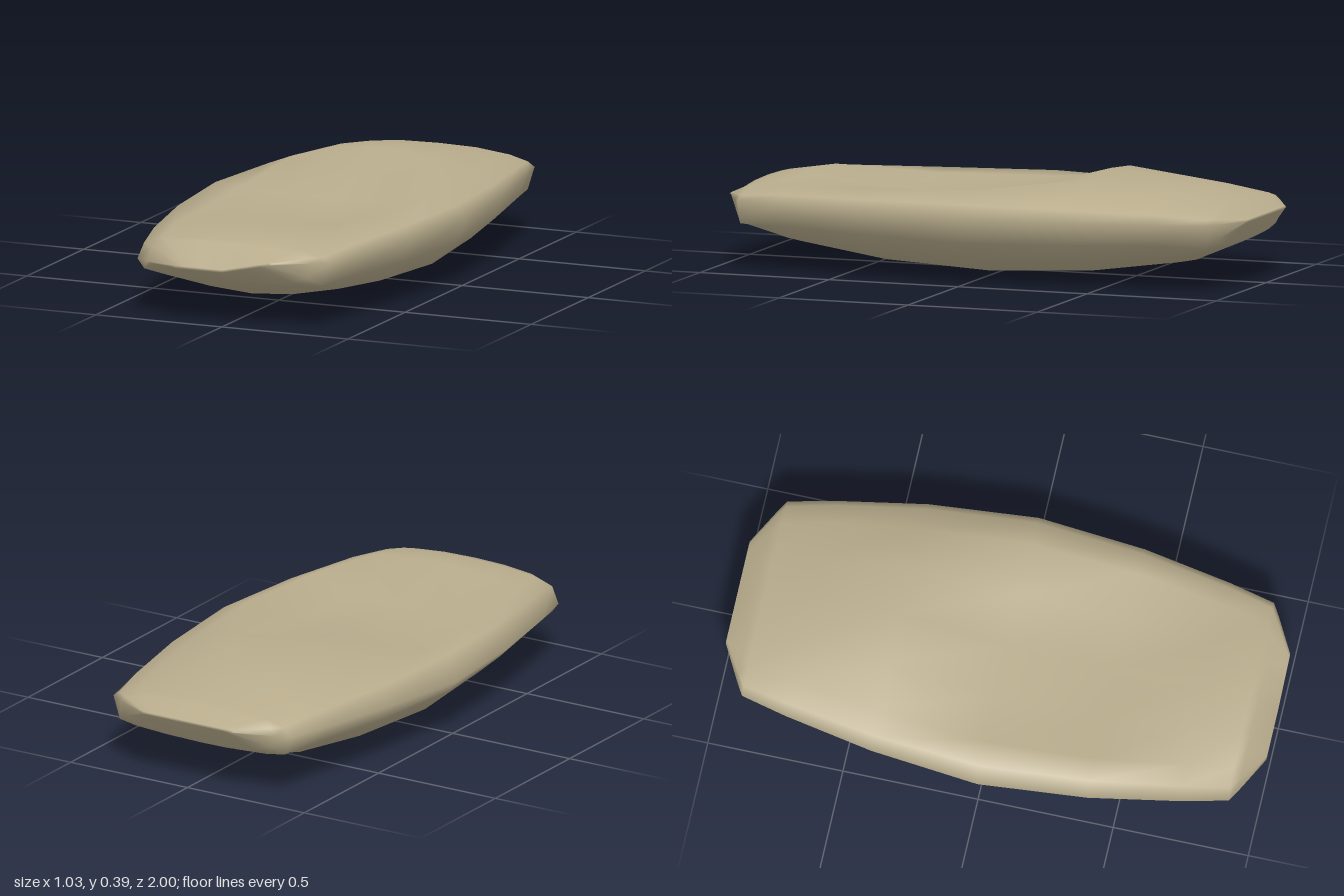
import * as THREE from 'three';

// Shared cross-section rule: position across the width, and depth below the rim
const ACROSS = [-0.93, -0.74, -0.39, 0, 0.39, 0.74, 0.93];
const DEPTH = [0.38, 0.72, 0.92, 1, 0.92, 0.72, 0.38];
const RIM = 0.25;

// Stations from back to front: z, half width, keel height, left rim (-x), boxiness of the underside, top heights.
// The top is a shallow hollow between a high back, a front ridge and a right-hand ridge.
const STATIONS = [
  [-0.93, 0.33, 0.157, 0.24, 0.35, [0.265, 0.282, 0.295, 0.297, 0.295, 0.282, 0.265]],
  [-0.9, 0.38, 0.142, 0.235, 0.65, [0.268, 0.287, 0.302, 0.305, 0.302, 0.287, 0.268]],
  [-0.73, 0.42, 0.07, 0.23, 0.1, [0.282, 0.308, 0.333, 0.34, 0.333, 0.308, 0.282]],
  [-0.4, 0.48, 0.02, 0.22, 0, [0.29, 0.325, 0.372, 0.388, 0.372, 0.325, 0.29]],
  [0, 0.515, 0.0, 0.2, 0, [0.295, 0.288, 0.277, 0.28, 0.28, 0.335, 0.295]],
  [0.4, 0.48, 0.02, 0.2, 0, [0.29, 0.282, 0.272, 0.27, 0.275, 0.325, 0.29]],
  [0.73, 0.42, 0.07, 0.2, 0.1, [0.28, 0.3, 0.323, 0.335, 0.326, 0.306, 0.282]],
  [0.9, 0.38, 0.142, 0.2, 0.65, [0.262, 0.285, 0.298, 0.302, 0.298, 0.287, 0.268]],
  [0.93, 0.33, 0.155, 0.2, 0.35, [0.255, 0.28, 0.292, 0.295, 0.292, 0.282, 0.265]],
];

// One closed loop: left rim, top, right rim, underside
function loop(z, w, left, right, top, bottom) {
  return [
    [-w, left, z],
    ...ACROSS.map((u, i) => [u * w, top(i), z]),
    [w, right, z],
    ...ACROSS.map((u, i) => [u * w, bottom(i), z]).reverse(),
  ];
}

function body([z, w, keel, left, boxy, top]) {
  const under = (i) => RIM - (RIM - keel) * THREE.MathUtils.lerp(DEPTH[i], 1, boxy);
  return loop(z, w, left, RIM, (i) => top[i], under);
}

// Thin edge that closes each end
function tip(z, left) {
  const edge = (i) => THREE.MathUtils.lerp(left, RIM, Math.max(0, ACROSS[i]));
  return loop(z, 0.2, left, RIM, (i) => edge(i) + 0.005, (i) => edge(i) - 0.005);
}

function loft(rings) {
  const n = rings[0].length;
  const pos = rings.flat(2);
  const index = [];
  for (let i = 0; i < rings.length - 1; i++) {
    for (let j = 0; j < n; j++) {
      const k = (j + 1) % n;
      const a = i * n + j, b = i * n + k, c = b + n, d = a + n;
      index.push(a, d, c, a, c, b);
    }
  }
  // Narrow end faces, bridged from the top row to the underside row
  const last = (rings.length - 1) * n;
  for (let j = 0; j < n / 2; j++) {
    const t0 = j, t1 = j + 1, b0 = (n - j) % n, b1 = n - j - 1;
    index.push(t0, t1, b1, t0, b1, b0);
    index.push(last + t0, last + b1, last + t1, last + t0, last + b0, last + b1);
  }
  const geo = new THREE.BufferGeometry();
  geo.setAttribute('position', new THREE.Float32BufferAttribute(pos, 3));
  geo.setIndex(index);
  geo.computeVertexNormals();
  return geo;
}

export function createModel() {
  const group = new THREE.Group();
  group.name = 'flatStone';
  const stone = new THREE.Mesh(
    loft([tip(-1, 0.25), ...STATIONS.map(body), tip(1, 0.205)]),
    new THREE.MeshStandardMaterial({ color: 0xb8ac8c })
  );
  stone.name = 'stoneBody';
  group.add(stone);
  return group;
}
